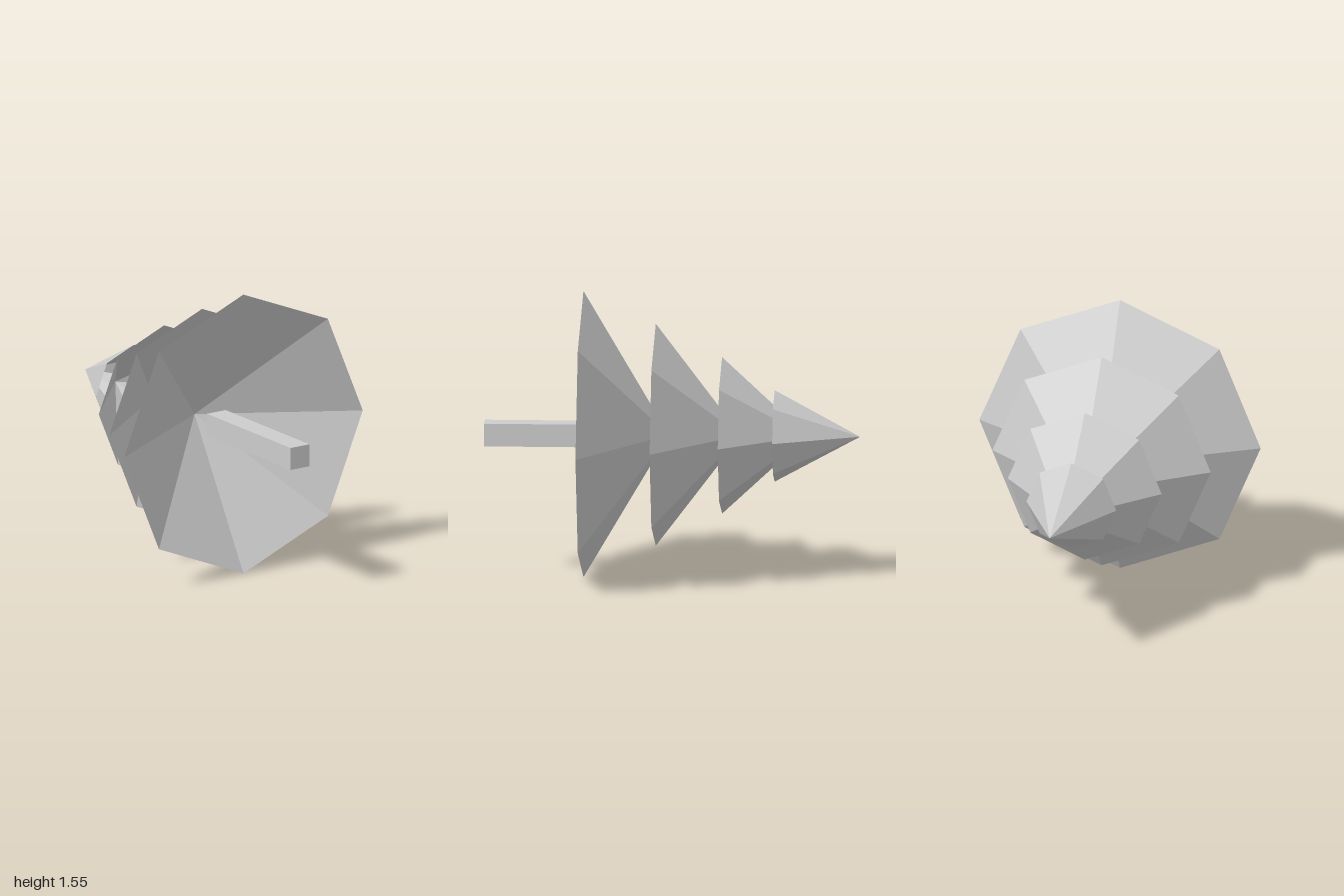
import * as THREE from 'three';

const AXIS_Y = 0.773;

export function createModel() {
  const tree = new THREE.Group();
  tree.name = 'pineTree';

  const grey = new THREE.MeshStandardMaterial({
    color: 0xcccccc, flatShading: true, side: THREE.DoubleSide,
  });
  grey.name = 'pale grey';

  const addPart = (name, geometry, z) => {
    const mesh = new THREE.Mesh(geometry, grey);
    mesh.name = name;
    mesh.position.set(0, AXIS_Y, z);
    tree.add(mesh);
  };

  // Hollow eight-sided branch tiers, lying down with the tip towards -z
  const height = 0.455;
  const tiers = [
    { radius: 0.773, base: 0.473 },
    { radius: 0.6, base: 0.088 },
    { radius: 0.423, base: -0.265 },
    { radius: 0.247, base: -0.545 },
  ];
  tiers.forEach(({ radius, base }, i) => {
    const cone = new THREE.ConeGeometry(radius, height, 8, 1, true);
    cone.rotateX(-Math.PI / 2);
    addPart(`branchTier${i + 1}`, cone, base - height / 2);
  });

  // Square trunk, starting inside the lowest tier
  const trunkLength = 0.78;
  addPart('trunk', new THREE.BoxGeometry(0.122, 0.122, trunkLength), 1 - trunkLength / 2);

  return tree;
}
